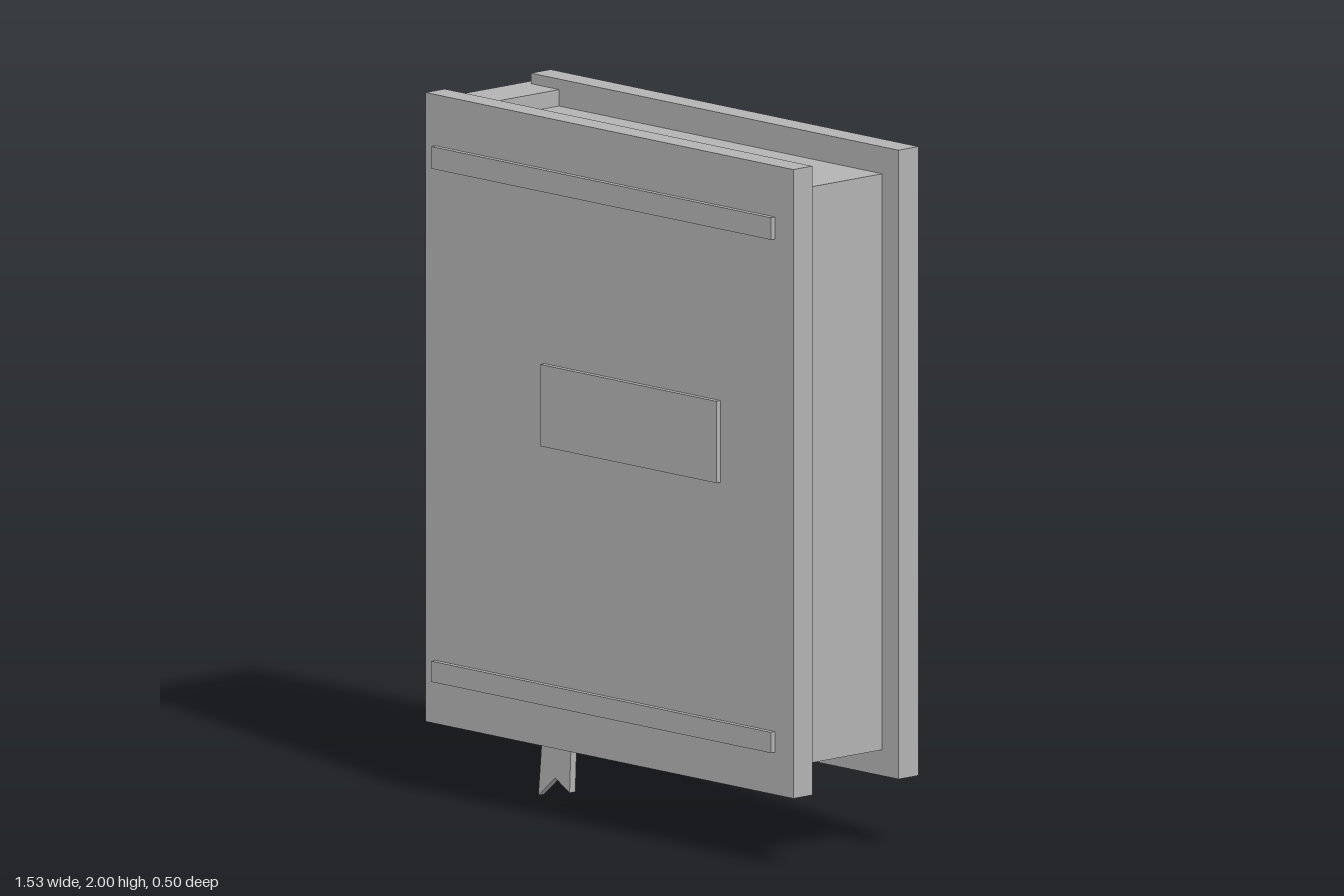
import * as THREE from 'three';

export function createModel() {
  const book = new THREE.Group();
  book.name = 'book';
  const grey = new THREE.MeshStandardMaterial({ color: 0xb3b3b3 });
  grey.name = 'plain grey';

  // Box given by its extents on each axis
  const slab = (name, [x0, x1], [y0, y1], [z0, z1]) => {
    const mesh = new THREE.Mesh(new THREE.BoxGeometry(x1 - x0, y1 - y0, z1 - z0), grey);
    mesh.position.set((x0 + x1) / 2, (y0 + y1) / 2, (z0 + z1) / 2);
    mesh.name = name;
    book.add(mesh);
  };

  // Covers, spine and page block
  const coverX = [-0.739, 0.764], coverY = [0.207, 2];
  slab('frontCover', coverX, coverY, [0.158, 0.231]);
  slab('backCover', coverX, coverY, [-0.248, -0.172]);
  slab('spine', [-0.766, -0.623], [0.233, 1.97], [-0.198, 0.178]);
  slab('pages', [-0.66, 0.697], [0.281, 1.923], [-0.18, 0.166]);

  // Raised bands and title plate on the front cover
  const raised = [0.225, 0.247];
  slab('upperBand', [-0.699, 0.689], [1.791, 1.854], raised);
  slab('lowerBand', [-0.699, 0.689], [0.328, 0.387], raised);
  slab('titlePlate', [-0.254, 0.466], [1.065, 1.298], raised);

  // Ribbon bookmark with a notched tail
  const outline = [[-0.483, 0.283], [-0.509, 0], [-0.44, 0.06], [-0.381, 0.026], [-0.37, 0.283]];
  const shape = new THREE.Shape(outline.map(([x, y]) => new THREE.Vector2(x, y)));
  const ribbon = new THREE.Mesh(
    new THREE.ExtrudeGeometry(shape, { depth: 0.022, bevelEnabled: false }), grey);
  ribbon.position.z = -0.007;
  ribbon.name = 'ribbonBookmark';
  book.add(ribbon);

  return book;
}
